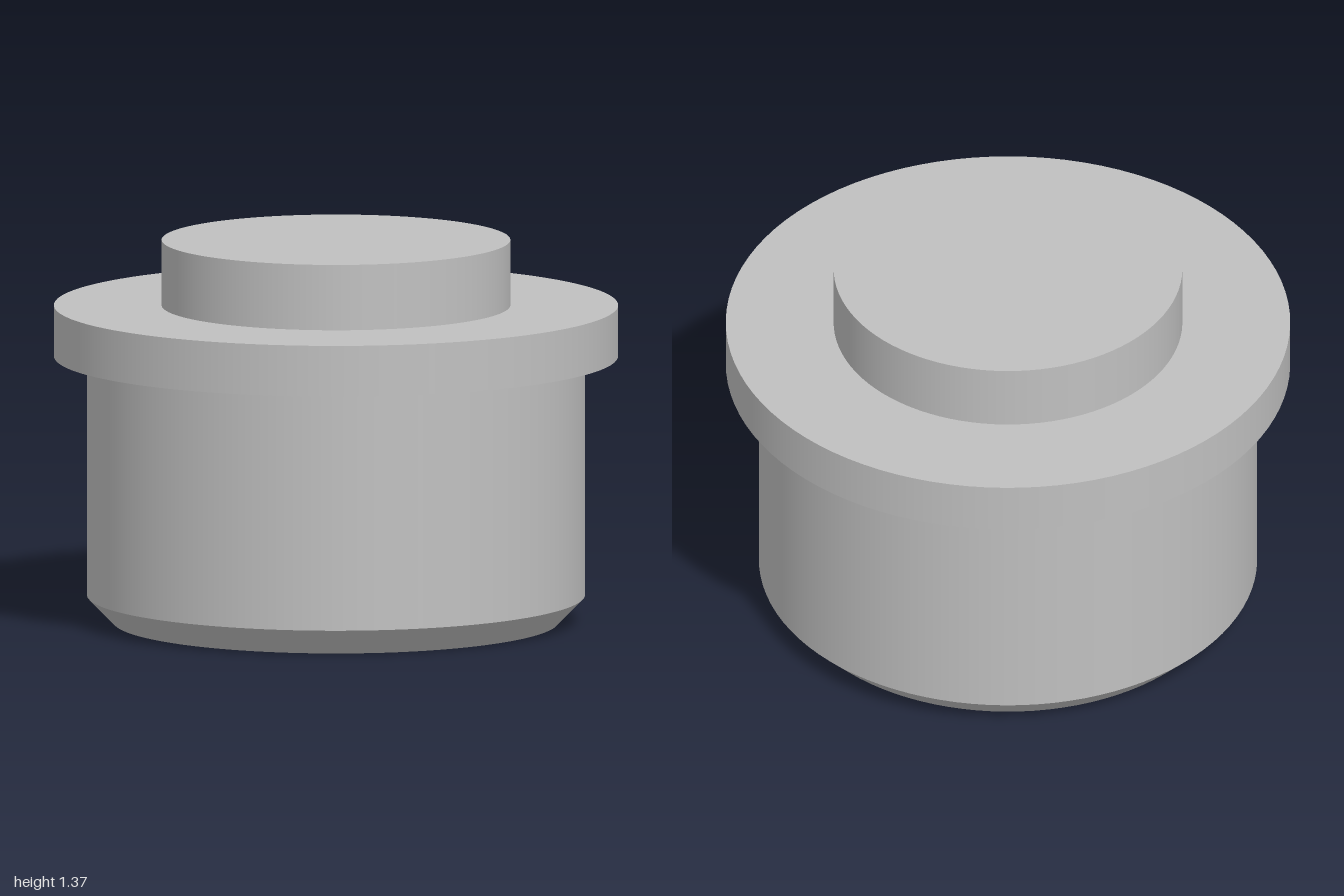
import * as THREE from 'three';
import { mergeGeometries } from 'three/addons/utils/BufferGeometryUtils.js';

const SEGMENTS = 96;

// Revolve a profile of [radius, y] points, keeping every corner sharp
function sharpLathe(profile) {
  const bands = [];
  for (let i = 0; i < profile.length - 1; i++) {
    const pair = [profile[i], profile[i + 1]].map(([r, y]) => new THREE.Vector2(r, y));
    bands.push(new THREE.LatheGeometry(pair, SEGMENTS));
  }
  return mergeGeometries(bands);
}

export function createModel() {
  const group = new THREE.Group();
  group.name = 'flangedPlug';

  const grey = new THREE.MeshStandardMaterial({ color: 0xc0c0c0 });
  grey.name = 'light grey';

  // Profiles run from bottom to top, so the faces point outwards
  const parts = {
    // chamfered cylinder with a closed bottom
    body: [[0, 0], [0.79, 0], [0.883, 0.095], [0.883, 0.95]],
    // wide rim with its underside and upper shoulder
    flange: [[0.883, 0.95], [1, 0.95], [1, 1.132], [0.618, 1.132]],
    // raised boss with a flat top
    topBoss: [[0.618, 1.132], [0.618, 1.366], [0, 1.366]],
  };

  for (const [name, profile] of Object.entries(parts)) {
    const mesh = new THREE.Mesh(sharpLathe(profile), grey);
    mesh.name = name;
    group.add(mesh);
  }
  return group;
}
